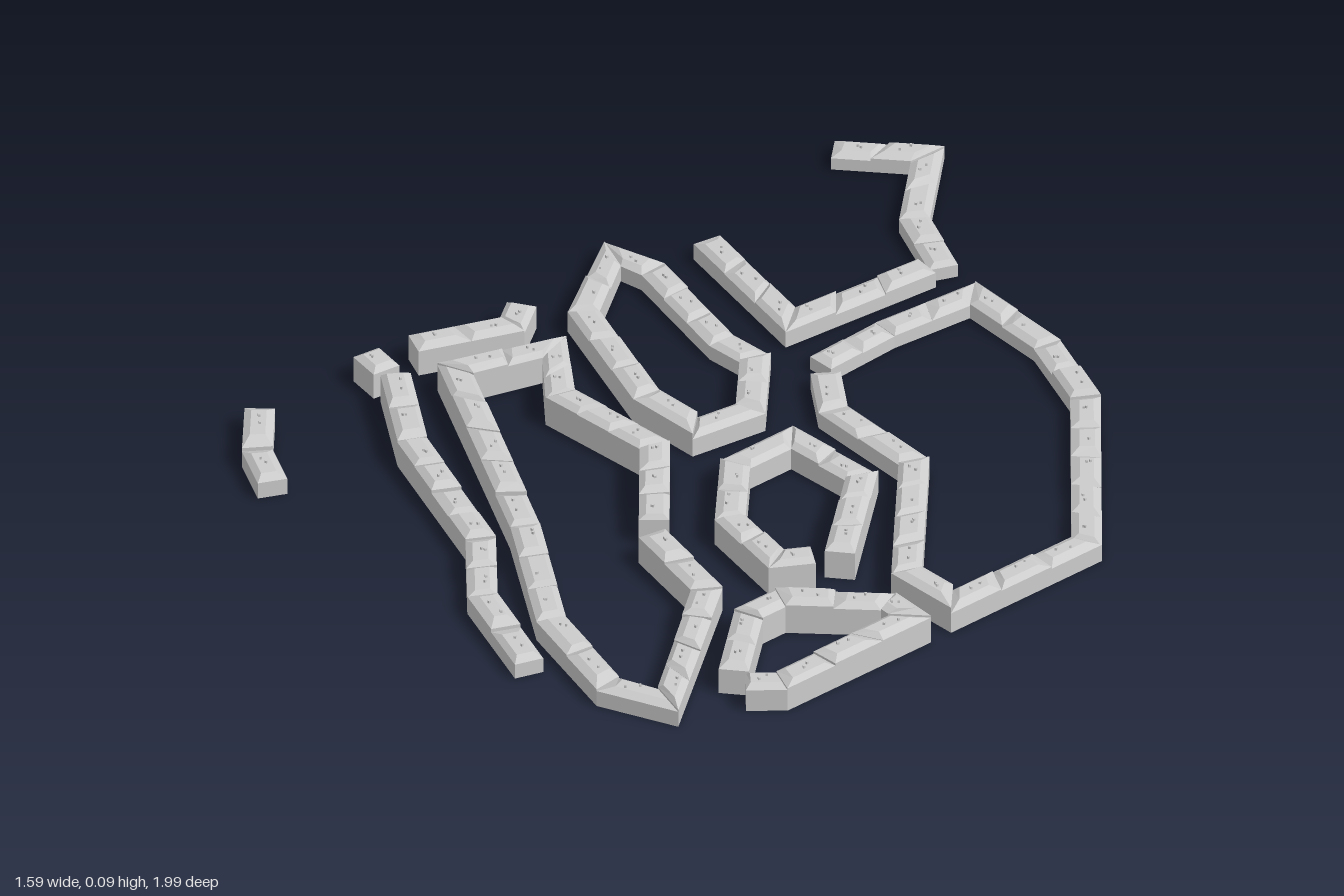
import * as THREE from 'three';
import { mergeGeometries } from 'three/addons/utils/BufferGeometryUtils.js';

const WIDTH = 0.066;
const BLOCK_LENGTH = 0.11;

// Corners of each wall's centre line, as x, z pairs in hundredths
const WALLS = {
  backLeftWall: [-75, -81, -60, -95, -43, -77, -25, -70],
  backLeftHookWall: [-27, -67, -30, -31, -65, -37],
  largeEnclosure: [-14, -26, -15, -45, -13, -68, 12, -68, 33, -61, 76, -25, 76, 13, 62, 14, 29, -16, 2, -16, -10, -24],
  leftEnclosure: [-74, -18, -64, -21, -34, -15, -24, -16, -9, -2, -11, 12, -26, 13, -60, 2],
  centreEnclosure: [48, 21, 27, -3, 6, -1, 6, 15, 22, 30, 41, 33, 45, 26],
  smallLeftWall: [-70, 11, -65, 18, -73, 39],
  longEnclosure: [12, 43, -9, 25, -37, 28, -52, 17, -59, 39, -5, 65, 25, 83, 51, 89, 64, 83, 39, 51, 16, 47],
  frontWallStub: [-77, 49, -69, 50],
  frontWall: [-66, 50, -45, 63, -8, 75, 8, 88, 33, 96],
  frontLeftWall: [-77, 79, -66, 89, -55, 94],
  rightEnclosure: [71, 67, 76, 61, 76, 25, 69, 25, 53, 42, 53, 51, 67, 67],
};
const CLOSED = 'leftEnclosure';

// Walls are tallest a little in front of the centre and lower towards front and back
const wallHeight = (z) => 0.045 + 0.034 * Math.exp(-(((z - 0.35) / 0.4) ** 2));

// One stone block: four plan corners, upright sides and a hipped top, open below
function makeBlock(corners, top, rand) {
  const [a, b, c, d] = corners; // a, d at the start; b, c at the end
  const at = (u, v) => a.clone().lerp(b, u).lerp(d.clone().lerp(c, u), v);
  const u0 = 0.08 + rand() * 0.15, u1 = 0.92 - rand() * 0.15;
  const v0 = 0.18 + rand() * 0.12, v1 = 0.82 - rand() * 0.12;
  const roof = [at(u0, v0), at(u1, v0), at(u1, v1), at(u0, v1)];
  const rings = [[corners, 0], [corners, top - 0.011], [roof, top]]
    .map(([pts, y]) => pts.map((q) => [q.x, y, q.y]));
  const pos = [];
  const quad = (p, q, r, s) => pos.push(...p, ...q, ...r, ...p, ...r, ...s);
  for (let k = 0; k < 2; k++) {
    for (let i = 0; i < 4; i++) {
      const j = (i + 1) % 4;
      quad(rings[k][j], rings[k][i], rings[k + 1][i], rings[k + 1][j]);
    }
  }
  quad(rings[2][3], rings[2][2], rings[2][1], rings[2][0]);
  const geometry = new THREE.BufferGeometry();
  geometry.setAttribute('position', new THREE.Float32BufferAttribute(pos, 3));
  geometry.computeVertexNormals();
  return { geometry, at };
}

// Mitred left and right edge points at every corner of a path
function pathEdges(pts, closed) {
  const n = pts.length;
  return pts.map((p, i) => {
    const hasPrev = closed || i > 0;
    const hasNext = closed || i < n - 1;
    const before = hasPrev ? p.clone().sub(pts[(i + n - 1) % n]).normalize() : null;
    const after = hasNext ? pts[(i + 1) % n].clone().sub(p).normalize() : before;
    const along = (before || after).clone().add(after).normalize();
    const reach = Math.min(WIDTH / 2 / Math.max(along.dot(after), 0.1), WIDTH * 0.75);
    const offset = new THREE.Vector2(along.y, -along.x).multiplyScalar(reach);
    return [p.clone().add(offset), p.clone().sub(offset)];
  });
}

export function createModel() {
  const group = new THREE.Group();
  const stone = new THREE.MeshStandardMaterial({ color: 0xcccccc, side: THREE.DoubleSide, flatShading: true });
  let seed = 7;
  const rand = () => (seed = (seed * 16807) % 2147483647) / 2147483647;

  for (const [name, coords] of Object.entries(WALLS)) {
    const closed = name === CLOSED;
    const pts = [];
    for (let i = 0; i < coords.length; i += 2) {
      pts.push(new THREE.Vector2(coords[i] / 100, coords[i + 1] / 100));
    }
    const edges = pathEdges(pts, closed);
    const runs = closed ? pts.length : pts.length - 1;
    const stoneBlocks = [], looseStones = [];

    // Divide each straight run into blocks of slightly different height
    for (let i = 0; i < runs; i++) {
      const j = (i + 1) % pts.length;
      const pieces = Math.max(1, Math.round(pts[i].distanceTo(pts[j]) / BLOCK_LENGTH));
      const edgePoint = (side, t) => edges[i][side].clone().lerp(edges[j][side], t);
      for (let k = 0; k < pieces; k++) {
        const s = k / pieces, e = (k + 1) / pieces;
        const corners = [edgePoint(0, s), edgePoint(0, e), edgePoint(1, e), edgePoint(1, s)];
        const top = wallHeight(corners[0].y) + (rand() - 0.5) * 0.01;
        const { geometry, at } = makeBlock(corners, top, rand);
        stoneBlocks.push(geometry);
        // Tiny loose stones on the top
        for (let m = 0; m < 2; m++) {
          const q = at(0.3 + rand() * 0.4, 0.35 + rand() * 0.3);
          const pebble = new THREE.BoxGeometry(0.005, 0.008, 0.005);
          looseStones.push(pebble.rotateY(rand() * 3).translate(q.x, top + 0.002, q.y));
        }
      }
    }

    const wall = new THREE.Group();
    wall.name = name;
    for (const [part, list] of Object.entries({ stoneBlocks, looseStones })) {
      const mesh = new THREE.Mesh(mergeGeometries(list), stone);
      mesh.name = part;
      wall.add(mesh);
    }
    group.add(wall);
  }
  return group;
}
